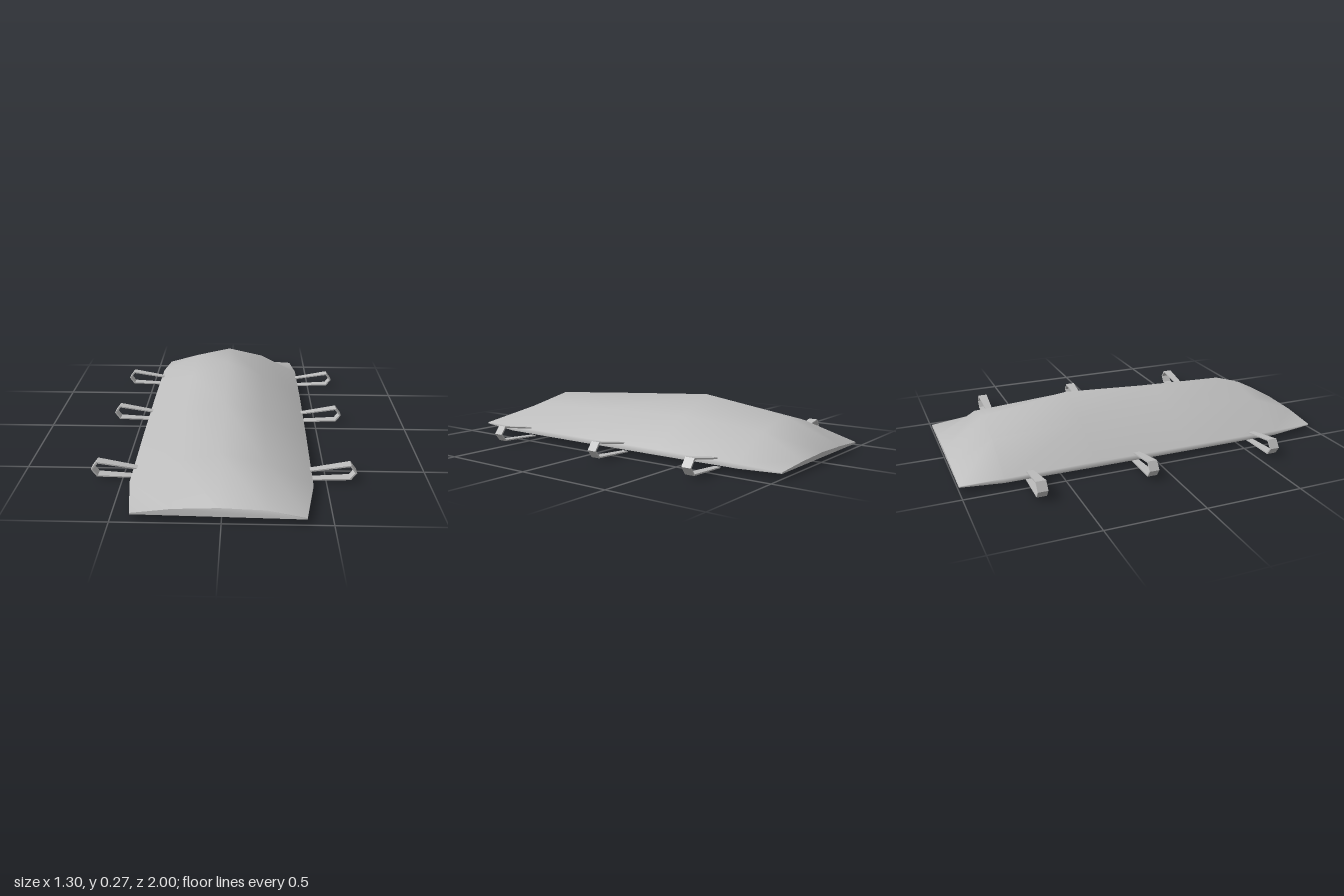
import * as THREE from 'three';

const fabric = new THREE.MeshStandardMaterial({ color: 0xbcbcbc });
fabric.name = 'grey fabric';
fabric.side = THREE.DoubleSide;

// Cross-sections from back to front:
// z, left edge x, right edge x, edge height, shoulder height, ridge height, base height
const sections = [
  [-1.0, 0.4, -0.42, 0.032, 0.044, 0.05, 0.025],
  [-0.79, 0.427, -0.447, 0.045, 0.158, 0.205, 0.022],
  [-0.33, 0.43, -0.45, 0.05, 0.188, 0.275, 0.022],
  [0.2, 0.43, -0.45, 0.048, 0.172, 0.238, 0.022],
  [0.72, 0.427, -0.447, 0.045, 0.155, 0.2, 0.022],
  [0.975, 0.38, -0.41, 0.034, 0.058, 0.066, 0.027],
];

// Seven points per section, running over the top from the left base to the right base
const rows = sections.map(([z, l, r, edge, shoulder, ridge, base], i) => {
  const corner = i === sections.length - 1 ? 0.02 : 0;
  return [
    [l, base, z + corner], [l, edge, z + corner], [0.2, shoulder, z], [-0.01, ridge, z],
    [-0.22, shoulder, z], [r, edge, z], [r, base, z],
  ];
});

function makeMesh(name, points, index) {
  const geometry = new THREE.BufferGeometry();
  geometry.setAttribute('position', new THREE.Float32BufferAttribute(points.flat(), 3));
  geometry.setIndex(index);
  geometry.computeVertexNormals();
  const mesh = new THREE.Mesh(geometry, fabric);
  mesh.name = name;
  return mesh;
}

// Quads between successive rows of points
function gridIndex(rowCount, columns) {
  const index = [];
  for (let i = 0; i < rowCount - 1; i++) {
    for (let j = 0; j < columns - 1; j++) {
      const a = i * columns + j, b = a + columns;
      index.push(a, a + 1, b, a + 1, b + 1, b);
    }
  }
  return index;
}

function createBag() {
  const bag = new THREE.Group();
  bag.name = 'bag';
  bag.add(makeMesh('cover', rows.flat(), gridIndex(rows.length, 7)));
  const basePoints = rows.flatMap((row) => [row[6], row[0]]);
  bag.add(makeMesh('base', basePoints, gridIndex(rows.length, 2)));
  const front = [], back = [];
  for (let k = 1; k < 6; k++) {
    front.push(0, k, k + 1);
    back.push(0, k + 1, k);
  }
  bag.add(makeMesh('frontEnd', rows[rows.length - 1], front));
  bag.add(makeMesh('backEnd', rows[0], back));
  return bag;
}

// Carrying strap: outer x, outer y, inner x, inner y, half width
const strapPath = [
  [0.42, 0.056, 0.42, 0.049, 0.017],
  [0.618, 0.091, 0.613, 0.083, 0.025],
  [0.648, 0.05, 0.639, 0.05, 0.025],
  [0.62, 0.011, 0.615, 0.018, 0.025],
  [0.39, 0.001, 0.39, 0.007, 0.017],
];

function createStrap(side, z) {
  const ring = strapPath.map(([ox, oy, ix, iy, w]) => {
    const shift = side < 0 ? 0.007 : 0;
    const X = (x) => side * (x + shift);
    return [[X(ox), oy, z + w], [X(ox), oy, z - w], [X(ix), iy, z - w], [X(ix), iy, z + w]];
  });
  const points = [], index = [];
  const quad = (a, b, c, d) => {
    const n = points.length;
    points.push(a, b, c, d);
    if (side > 0) index.push(n, n + 1, n + 2, n, n + 2, n + 3);
    else index.push(n, n + 2, n + 1, n, n + 3, n + 2);
  };
  for (let i = 0; i < ring.length - 1; i++) {
    for (let k = 0; k < 4; k++) {
      const m = (k + 1) % 4;
      quad(ring[i][k], ring[i + 1][k], ring[i + 1][m], ring[i][m]);
    }
  }
  quad(...ring[0]);
  quad(...ring[ring.length - 1].slice().reverse());
  return makeMesh(side > 0 ? 'leftHandle' : 'rightHandle', points, index);
}

export function createModel() {
  const model = new THREE.Group();
  model.name = 'handledBag';
  model.add(createBag());
  // Three handles along each side
  for (const z of [-0.66, -0.1, 0.585]) {
    for (const side of [1, -1]) model.add(createStrap(side, z));
  }
  return model;
}
